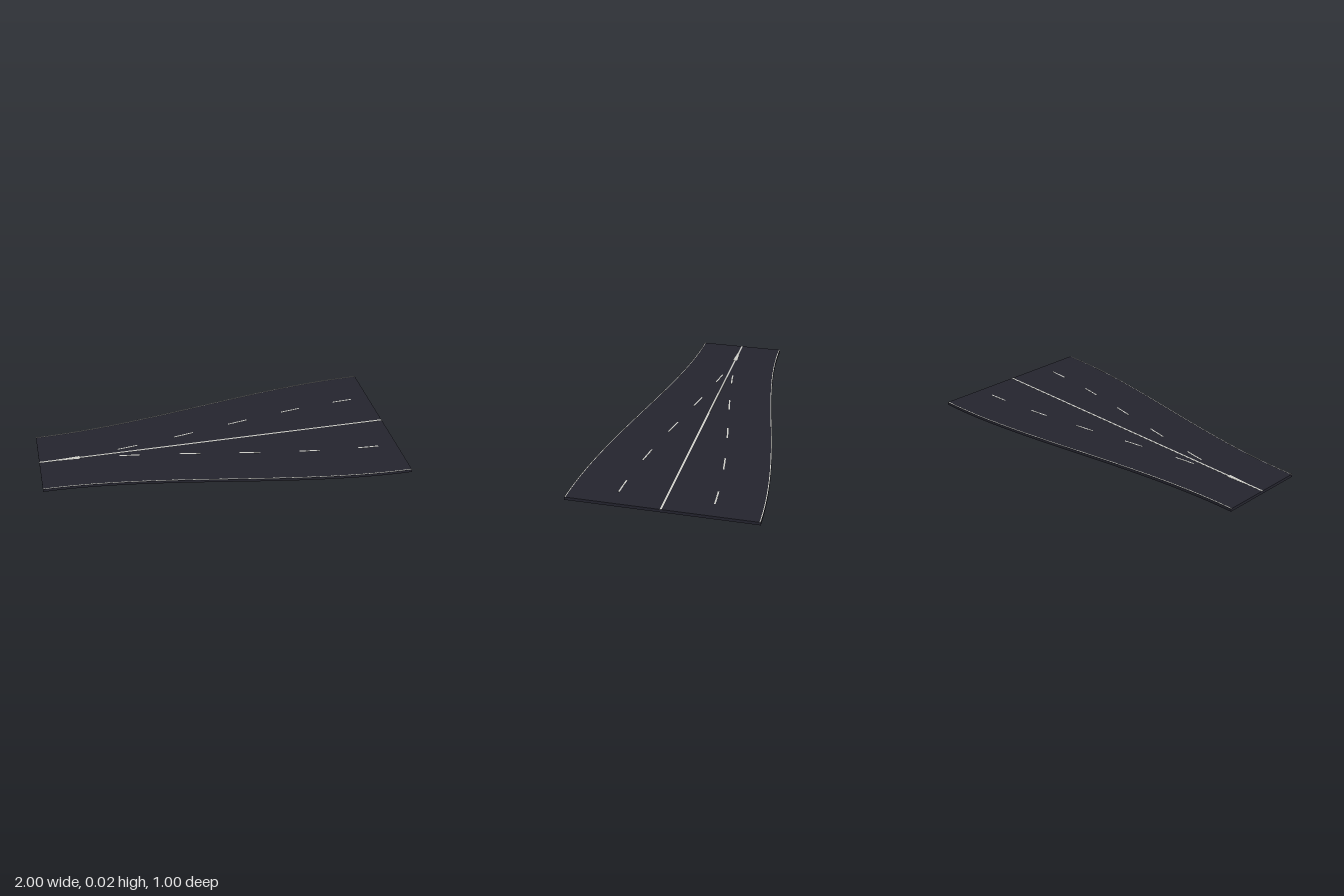
import * as THREE from 'three';

const THICK = 0.0165;   // road slab
const PAINT = 0.0007;   // marking plates
const asphalt = new THREE.MeshStandardMaterial({ color: 0x24242e });
asphalt.name = 'asphalt';
const paint = new THREE.MeshStandardMaterial({ color: 0xcfcfc8 });
paint.name = 'roadPaint';

// 0 to 1 easing along the length of the road
const ease = (x) => THREE.MathUtils.smoothstep(x, -1, 1);
const halfWidth = (x) => 0.25 + 0.25 * ease(x);

// Flat plate between two curves over a range of x
function plate(name, x0, x1, steps, lower, upper, y, height, material) {
  const near = [], far = [];
  for (let i = 0; i <= steps; i++) {
    const x = x0 + ((x1 - x0) * i) / steps;
    near.push(new THREE.Vector2(x, lower(x)));
    far.unshift(new THREE.Vector2(x, upper(x)));
  }
  const geometry = new THREE.ExtrudeGeometry(new THREE.Shape([...near, ...far]), { depth: height, bevelEnabled: false });
  geometry.rotateX(-Math.PI / 2);
  geometry.translate(0, y, 0);
  const mesh = new THREE.Mesh(geometry, material);
  mesh.name = name;
  return mesh;
}

// Painted strip following a centre curve
function strip(name, x0, x1, steps, centre, width) {
  return plate(name, x0, x1, steps, (x) => centre(x) - width / 2, (x) => centre(x) + width / 2, THICK, PAINT, paint);
}

export function createModel() {
  const road = new THREE.Group();
  road.name = 'wideningRoad';

  // Slab that widens from two lanes to four
  road.add(plate('roadSlab', -1, 1, 40, (x) => -halfWidth(x), halfWidth, 0, THICK, asphalt));

  // Solid line down the middle
  road.add(strip('centreLine', -1, 1, 1, () => 0, 0.01));

  for (const [side, label] of [[1, 'back'], [-1, 'front']]) {
    // Solid line along the edge
    road.add(strip(label + 'EdgeLine', -1, 1, 40, (x) => side * (halfWidth(x) - 0.004), 0.005));

    // Dashes that part from the middle as the lanes open up
    for (let i = 0; i < 6; i++) {
      const x = -5 / 6 + i / 3;
      road.add(strip(label + 'LaneDash' + (i + 1), x - 0.058, x + 0.058, 4, (p) => side * 0.25 * ease(p), 0.008));
    }
  }
  return road;
}
